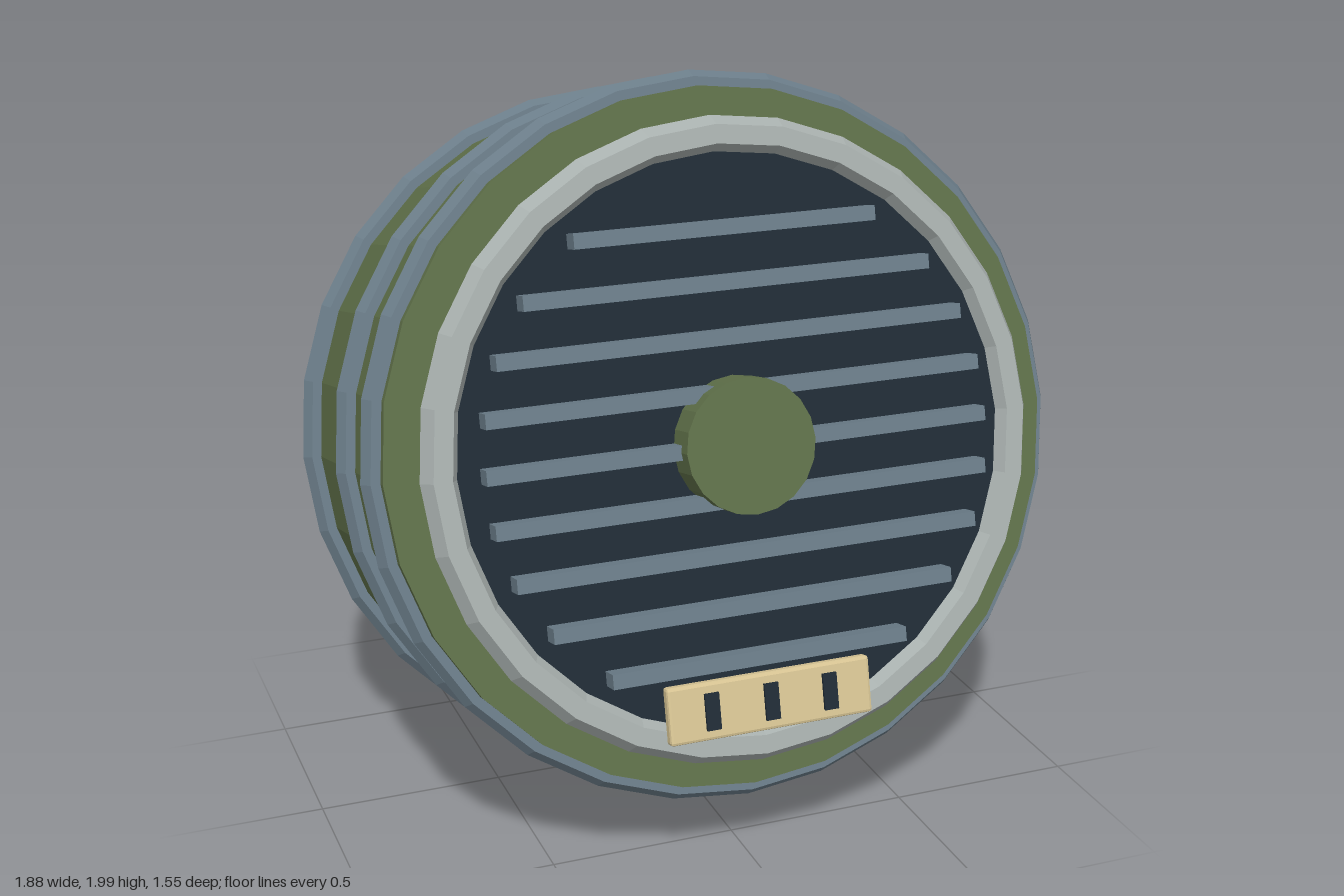
import * as THREE from 'three';
import { RoundedBoxGeometry } from 'three/addons/geometries/RoundedBoxGeometry.js';

const material = (name, color) => {
  const m = new THREE.MeshStandardMaterial({ color, flatShading: true });
  m.name = name;
  return m;
};

export function createModel() {
  const green = material('olive green', 0x5f7049);
  const steel = material('blue steel', 0x6b7d89);
  const dark = material('dark slate', 0x202c36);
  const silver = material('silver', 0xa9b1af);
  const cream = material('cream', 0xd8c594);

  const model = new THREE.Group();
  model.name = 'tiltedDrum';
  // The drum axis is local z, tipped upward at the front
  const body = new THREE.Group();
  body.name = 'drumAssembly';
  body.position.y = 0.991;
  body.rotation.x = -THREE.MathUtils.degToRad(13.9);
  model.add(body);

  const add = (name, geometry, mat, x = 0, y = 0, z = 0) => {
    const mesh = new THREE.Mesh(geometry, mat);
    mesh.name = name;
    mesh.position.set(x, y, z);
    body.add(mesh);
    return mesh;
  };
  // Closed cylinder along z between two depths
  const disc = (name, radius, back, front, sides, mat) =>
    add(name, new THREE.CylinderGeometry(radius, radius, front - back, sides).rotateX(Math.PI / 2),
      mat, 0, 0, (back + front) / 2);

  // Shell and rear base
  disc('drumShell', 0.895, -0.459, 0.459, 28, green);
  disc('rearBase', 0.583, -0.653, -0.44, 20, dark);

  // Three hoops around the shell
  for (const z of [-0.313, 0.117, 0.402])
    add('hoop', new THREE.TorusGeometry(0.901, 0.037, 6, 28), steel, 0, 0, z);

  // Front grille: panel, bezel, slats and knob
  disc('grillePanel', 0.745, 0.44, 0.53, 28, dark);
  add('bezel', new THREE.TorusGeometry(0.771, 0.048, 6, 28), silver, 0, 0, 0.52);
  const halfWidths = [0.67, 0.66, 0.62, 0.54, 0.4];
  for (let i = -4; i <= 4; i++)
    add('slat', new THREE.BoxGeometry(halfWidths[Math.abs(i)] * 2, 0.038, 0.06), steel, 0, i * 0.1355, 0.555);
  disc('knob', 0.172, 0.52, 0.625, 20, green);

  // Plate with three slots at the foot of the grille
  add('plate', new RoundedBoxGeometry(0.55, 0.147, 0.034, 1, 0.008), cream, 0, -0.647, 0.6);
  for (const x of [-0.16, 0, 0.16])
    add('plateSlot', new THREE.BoxGeometry(0.038, 0.094, 0.02), dark, x, -0.647, 0.615);

  return model;
}
